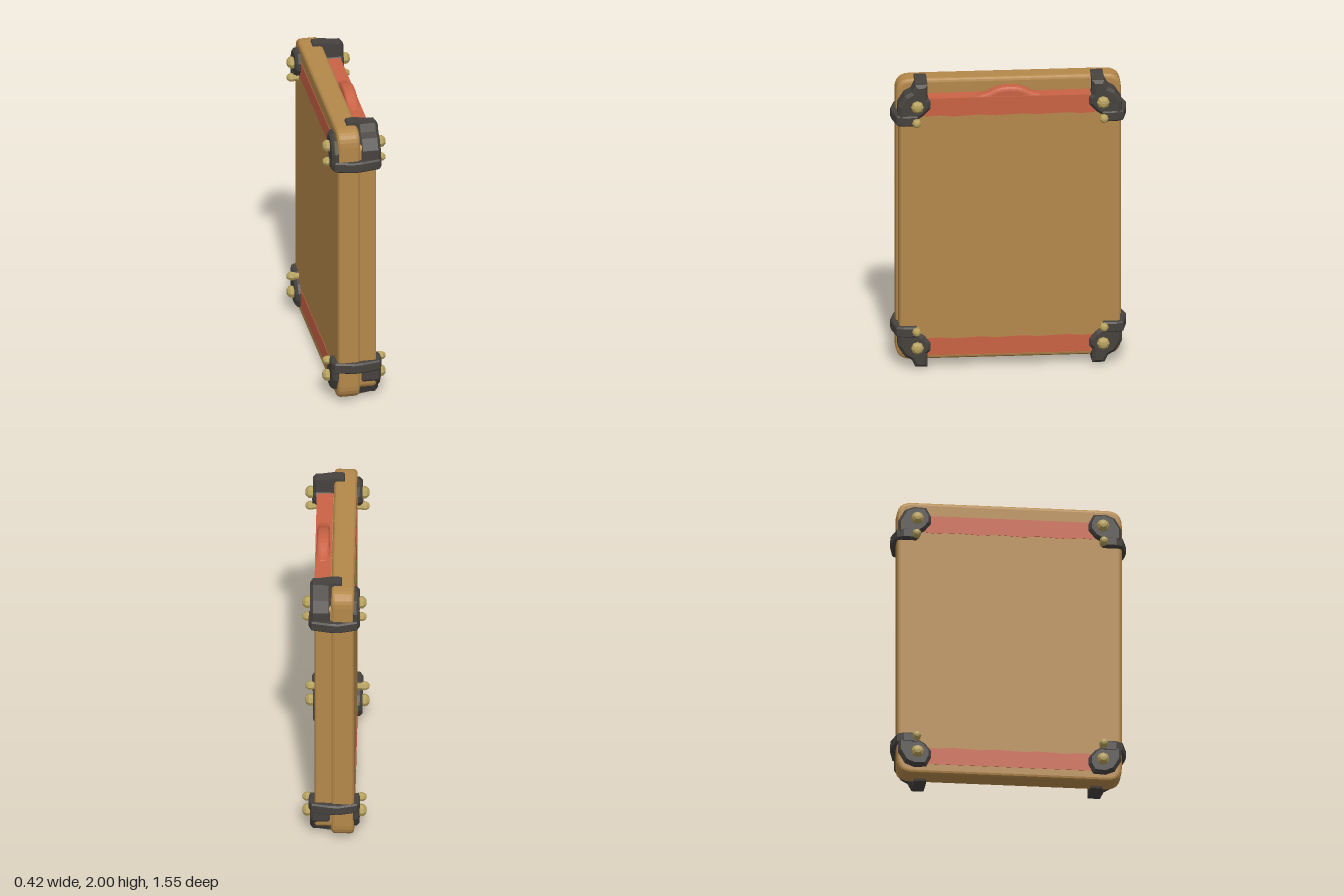
import * as THREE from 'three';

const mat = (name, color) => {
  const m = new THREE.MeshStandardMaterial({ color });
  m.name = name;
  return m;
};

export function createModel() {
  const root = new THREE.Group();
  root.name = 'strappedPanel';
  const wood = mat('wood', 0xb4884a);
  const red = mat('redPaint', 0xc96244);
  const iron = mat('darkIron', 0x46423e);
  const brass = mat('brass', 0xb5a05c);

  const add = (name, geo, material, parent = root) => {
    const m = new THREE.Mesh(geo, material);
    m.name = name;
    parent.add(m);
    return m;
  };
  const poly = (pts) => new THREE.Shape(pts.map(([a, b]) => new THREE.Vector2(a, b)));
  const extrude = (shape, length, bevel, segs = 2) =>
    new THREE.ExtrudeGeometry(shape, {
      depth: length - 2 * bevel, bevelEnabled: bevel > 0, bevelThickness: bevel,
      bevelSize: bevel, bevelOffset: -bevel, bevelSegments: segs, curveSegments: 6,
    }).translate(0, 0, bevel);
  // Slab from x0 to x1, outlined in (z, y)
  const slab = (shape, x0, x1, bevel, segs) =>
    extrude(shape, x1 - x0, bevel, segs).rotateY(-Math.PI / 2).translate(x1, 0, 0);
  const roundRect = (hz, y0, y1, r) => {
    const s = new THREE.Shape();
    s.moveTo(-hz + r, y0);
    s.lineTo(hz - r, y0);
    s.quadraticCurveTo(hz, y0, hz, y0 + r);
    s.lineTo(hz, y1 - r);
    s.quadraticCurveTo(hz, y1, hz - r, y1);
    s.lineTo(-hz + r, y1);
    s.quadraticCurveTo(-hz, y1, -hz, y1 - r);
    s.lineTo(-hz, y0 + r);
    s.quadraticCurveTo(-hz, y0, -hz + r, y0);
    return s;
  };

  // Full-height board and the shorter board beside it
  add('mainBoard', slab(roundRect(0.74, 0.02, 1.98, 0.1), -0.13, 0.02, 0.025, 3), wood);
  add('sideBoard', slab(roundRect(0.725, 0.09, 1.88, 0.05), 0.01, 0.13, 0.018, 3), wood);

  // Red bands with a slightly wavy inner edge
  const band = (inner, outer, hz) => {
    const pts = [[-hz, outer], [hz, outer]];
    for (let i = 0; i <= 12; i++) {
      const z = hz - (2 * hz * i) / 12;
      pts.push([z, inner + 0.005 * Math.sin(i * 2.1)]);
    }
    return poly(pts);
  };
  add('topRedBand', slab(band(1.76, 1.884, 0.56), 0.026, 0.134, 0), red);
  add('bottomRedBand', slab(band(0.208, 0.09, 0.56), 0.127, 0.133, 0), red);
  add('topRedBandRear', slab(band(1.76, 1.88, 0.56), -0.133, -0.127, 0), red);
  add('bottomRedBandRear', slab(band(0.208, 0.09, 0.56), -0.133, -0.127, 0), red);

  // Low hump on the top red band
  const hump = new THREE.Shape();
  hump.moveTo(-0.25, 1.84);
  hump.lineTo(0.25, 1.84);
  hump.lineTo(0.21, 1.885);
  hump.bezierCurveTo(0.12, 1.9, 0.11, 1.947, 0, 1.947);
  hump.bezierCurveTo(-0.11, 1.947, -0.12, 1.9, -0.21, 1.885);
  add('redHump', slab(hump, 0.04, 0.125, 0.025, 3), red);

  // Faceted bolt pointing along side * x
  const bolt = (parent, side, r, y, z) => {
    const profile = [[0, 0.066], [0.55, 0.062], [0.95, 0.045], [1, 0.03], [0.8, 0], [0.8, -0.03]]
      .map(([a, h]) => new THREE.Vector2(a * r, h)).reverse();
    const geo = new THREE.LatheGeometry(profile, 8).rotateZ(-side * Math.PI / 2)
      .toNonIndexed();
    geo.computeVertexNormals();
    add('bolt', geo.translate(side * 0.145, y, z), brass, parent);
  };

  // Four corner fittings, mirrored up/down and front/back
  for (const sy of [1, -1]) for (const sz of [1, -1]) {
    const g = new THREE.Group();
    g.name = (sy > 0 ? 'top' : 'bottom') + (sz > 0 ? 'Front' : 'Back') + 'Corner';
    root.add(g);
    const zy = (pts) => poly(pts.map(([z, y]) => [z * sz, 1 + y * sy]));

    // Deep bracket over the short board
    add('cornerBracket', slab(zy([[0.735, 0.74], [0.735, 0.84], [0.69, 0.91], [0.645, 0.935],
      [0.62, 0.985], [0.54, 0.985], [0.54, 0.89], [0.52, 0.87], [0.52, 0.82], [0.565, 0.77],
      [0.61, 0.74]]), 0.018, 0.16, 0.02, 1), iron, g);
    // Flat plate on the other face
    add('cornerPlate', slab(zy([[0.735, 0.74], [0.735, 0.83], [0.69, 0.91], [0.63, 0.935],
      [0.55, 0.93], [0.52, 0.87], [0.52, 0.82], [0.56, 0.77], [0.61, 0.74]]),
    -0.165, -0.11, 0.018, 1), iron, g);

    // Strap hooked over the end of the boards
    const strap = poly([[-0.055, 0.96], [-0.045, 0.995], [0, 1], [0.04, 0.995], [0.1, 0.985],
      [0.135, 0.93], [0.135, 0.86], [-0.055, 0.86]].map(([x, y]) => [x, 1 + y * sy]));
    add('endStrap', extrude(strap, 0.08, 0).translate(0, 0, sz > 0 ? 0.54 : -0.62), iron, g);

    // Band wrapped around the upright edge
    const wrap = poly([[-0.168, 0.605], [-0.168, 0.7], [-0.15, 0.742], [-0.03, 0.774],
      [0.03, 0.77], [0.15, 0.745], [0.168, 0.7], [0.168, 0.605]].map(([x, z]) => [x, -z * sz]));
    add('edgeBand', extrude(wrap, 0.072, 0.01, 1).rotateX(-Math.PI / 2)
      .translate(0, 1 + sy * 0.738 - 0.036, 0), iron, g);

    for (const side of [1, -1]) {
      bolt(g, side, 0.042, 1 + sy * 0.842, sz * 0.61);
      bolt(g, side, 0.03, 1 + sy * 0.73, sz * 0.615);
    }
  }
  return root;
}
